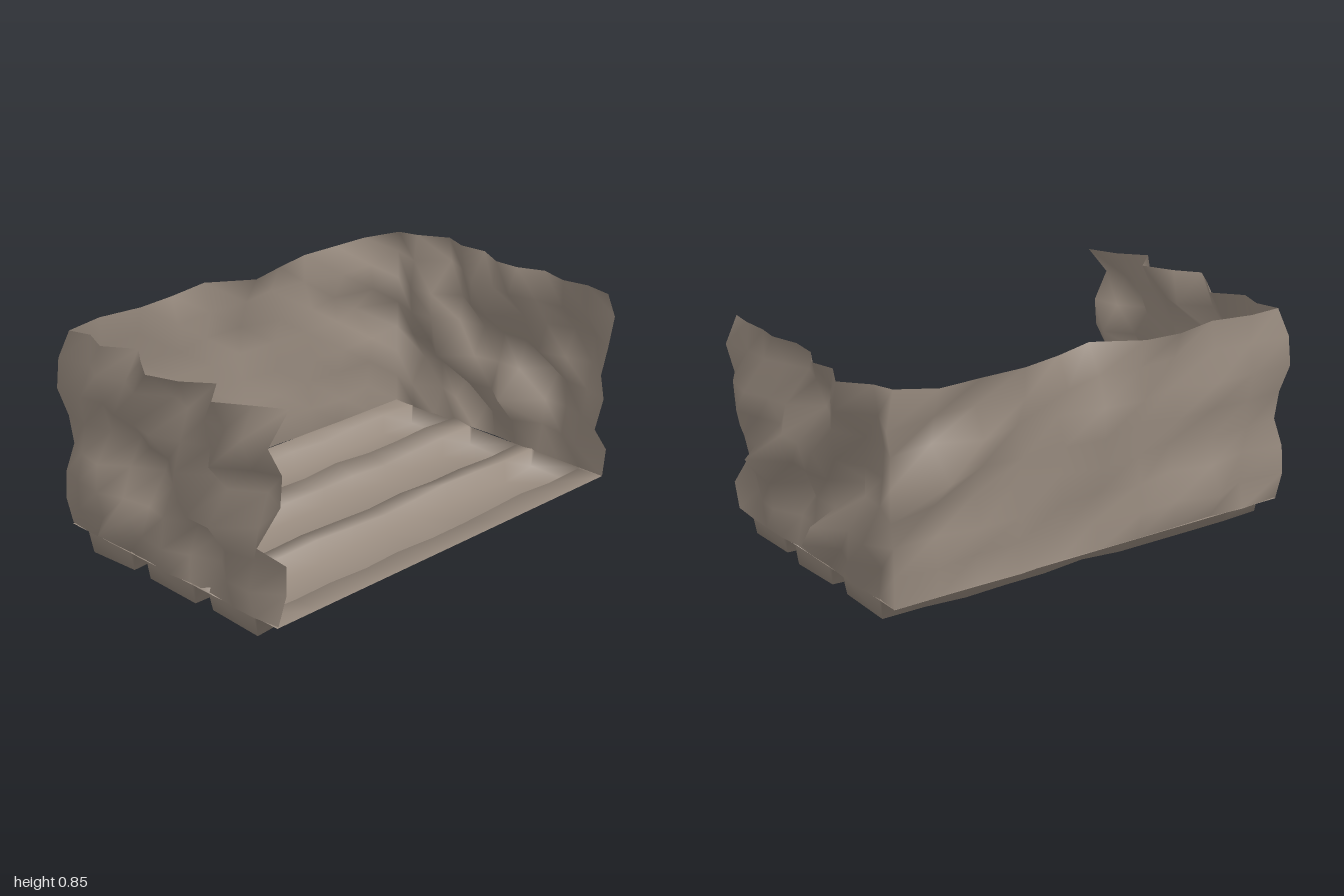
import * as THREE from 'three';

// Seeded noise in the range -1..1
function makeNoise(seed) {
  let s = seed;
  return () => {
    s = (s * 16807) % 2147483647;
    return (s / 2147483647) * 2 - 1;
  };
}

// Smooth sheet through a grid of points: rows of equal length
function sheet(rows) {
  const n = rows[0].length;
  const index = [];
  for (let r = 0; r < rows.length - 1; r++) {
    for (let c = 0; c < n - 1; c++) {
      const a = r * n + c, b = a + 1, d = a + n, e = d + 1;
      index.push(a, b, d, b, e, d);
    }
  }
  const geometry = new THREE.BufferGeometry();
  geometry.setAttribute('position', new THREE.Float32BufferAttribute(rows.flat(2), 3));
  geometry.setIndex(index);
  geometry.computeVertexNormals();
  return geometry;
}

// Strongest bumps and dents of the wall: column -> { row: outward distance }
const CRUMPLES = {
  // -x side, front to back
  0: { 2: -0.045, 3: 0.085, 4: -0.02, 5: -0.03, 6: 0.03, 7: -0.065 },
  1: { 4: -0.07 },
  2: { 3: 0.1, 5: 0.09, 7: 0.07 },
  3: { 2: -0.07, 3: 0.1, 7: -0.05 },
  5: { 5: 0.07, 7: 0.07 },
  6: { 3: -0.09, 7: 0 },
  7: { 1: 0.135, 4: -0.08, 7: -0.08 },
  8: { 7: 0 },
  // back
  12: { 1: 0.07 },
  14: { 7: 0.03 },
  15: { 7: -0.075 },
  16: { 6: 0.035, 7: -0.02 },
  18: { 7: 0.025 },
  19: { 4: 0.087, 7: 0.03 },
  20: { 3: 0.02, 6: 0.04, 7: -0.03 },
  // +x side, back to front
  22: { 6: 0.085, 7: 0.07 },
  23: { 2: 0.125, 3: -0.12 },
  24: { 1: 0.1 },
  25: { 5: -0.08 },
  26: { 2: -0.12, 6: -0.08 },
  27: { 3: 0.135 },
  28: { 5: 0.07 },
  30: { 2: -0.065, 3: -0.02, 4: -0.045, 5: -0.01, 6: 0.02, 7: -0.03 },
};

// Crumpled wall running left side, back, right side
function wallGeometry() {
  const noise = makeNoise(4211);
  const X = 0.863, FRONT = 0.6, BACK = -0.51, BASE = 0.09, TOP = 0.85;
  const SIDE = 10, REAR = 10, ROWS = 7;

  // Wall path: foot position, outward direction and crumple strength
  const path = [];
  const sideZ = (i) => FRONT + (BACK - FRONT) * i / SIDE;
  for (let i = 0; i < SIDE; i++) path.push({ x: -X, z: sideZ(i), nx: -1, nz: 0, k: 0.055 });
  for (let i = 0; i <= REAR; i++) {
    const corner = i === 0 ? -1 : i === REAR ? 1 : 0;
    path.push({
      x: -X + 2 * X * i / REAR, z: BACK, nx: corner, nz: -1, k: corner ? 0.02 : 0.03,
    });
  }
  for (let i = SIDE - 1; i >= 0; i--) path.push({ x: X, z: sideZ(i), nx: 1, nz: 0, k: 0.055 });

  const rows = [];
  for (let r = 0; r <= ROWS; r++) {
    rows.push(path.map((p, c) => {
      const random = noise() * p.k * (r === 0 ? 0.1 : 1);
      const push = CRUMPLES[c]?.[r] ?? random;
      const y = BASE + (TOP - BASE) * r / ROWS + noise() * 0.005;
      return [p.x + p.nx * push, y, p.z + p.nz * push];
    }));
  }
  return sheet(rows);
}

// Floor pressed into three channels that run from side to side
function floorGeometry() {
  const noise = makeNoise(977);
  const profile = [
    [0.6, 0.09], [0.49, 0.09], [0.485, 0.02], [0.26, 0.018], [0.255, 0.105],
    [0.17, 0.095], [0.165, 0.015], [-0.075, 0.015], [-0.08, 0.09],
    [-0.17, 0.108], [-0.175, 0.02], [-0.41, 0.01], [-0.415, 0.09], [-0.51, 0.09],
  ];
  const xs = [-0.863];
  for (let i = 0; i <= 10; i++) xs.push(-0.85 + 0.17 * i);
  xs.push(0.863);

  return sheet(profile.map(([z, y], r) => xs.map((x, c) => {
    const rim = c === 0 || c === xs.length - 1; // closes the channel ends
    const outer = r === 0 || r === profile.length - 1;
    const wobble = outer || rim ? 0 : 0.008;
    return [x, (rim ? 0.09 : y) + noise() * wobble, z + noise() * wobble];
  })));
}

export function createModel() {
  const model = new THREE.Group();
  model.name = 'crumpledTray';

  const clay = new THREE.MeshStandardMaterial({ color: 0x978a7e, side: THREE.DoubleSide });
  clay.name = 'warm grey';

  const walls = new THREE.Mesh(wallGeometry(), clay);
  walls.name = 'crumpledWalls';
  const floor = new THREE.Mesh(floorGeometry(), clay);
  floor.name = 'channelledFloor';

  model.add(walls, floor);
  return model;
}
